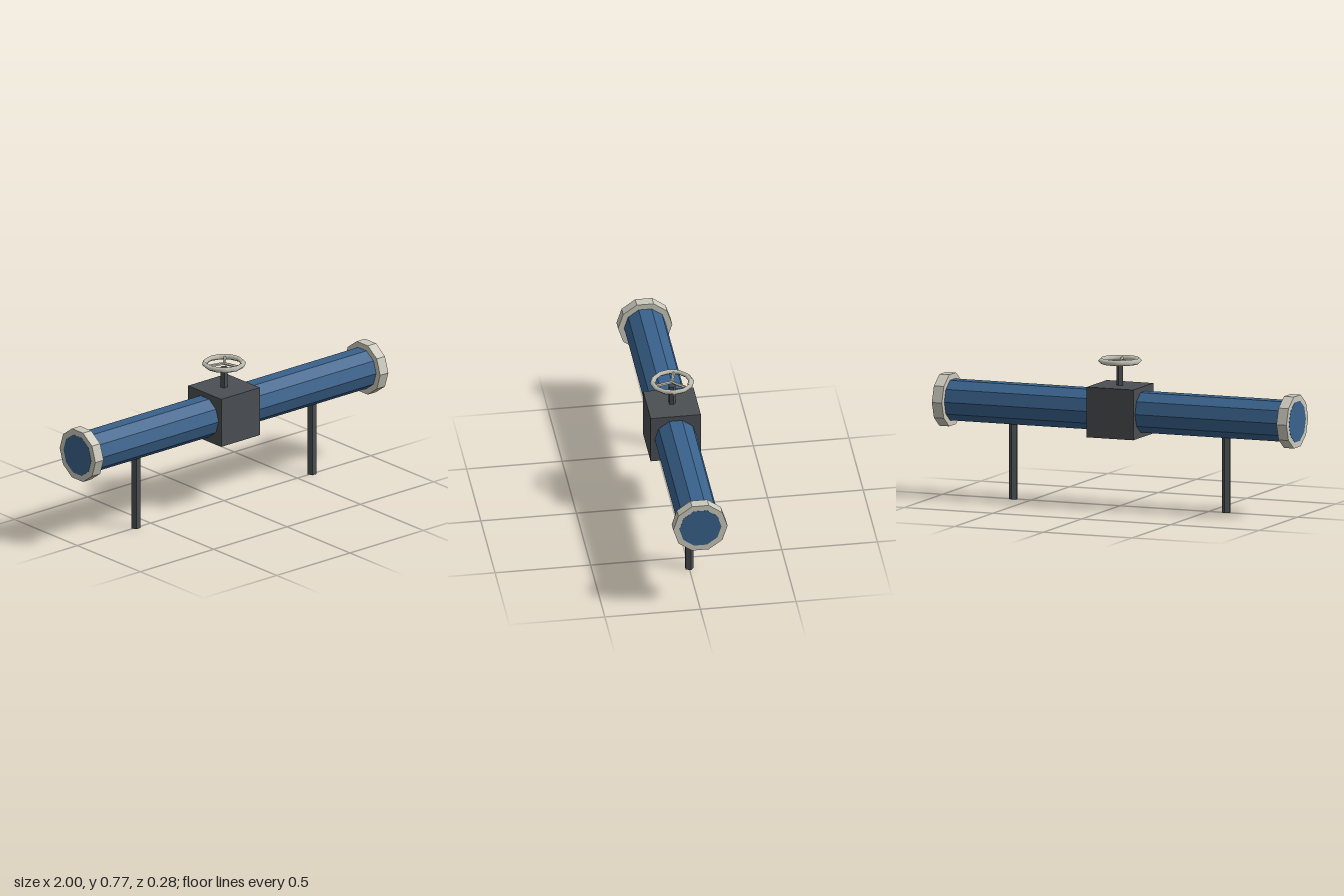
import * as THREE from 'three';

const blue = new THREE.MeshStandardMaterial({ color: 0x39628c });
blue.name = 'pipe blue';
const dark = new THREE.MeshStandardMaterial({ color: 0x4b4f53 });
dark.name = 'dark iron';
const cream = new THREE.MeshStandardMaterial({ color: 0xcbc9bc });
cream.name = 'pale metal';

// Faceted prism with hard edges, standing along y
function prism(radius, length, sides) {
  const geometry = new THREE.CylinderGeometry(radius, radius, length, sides).toNonIndexed();
  geometry.computeVertexNormals();
  return geometry;
}

export function createModel() {
  const model = new THREE.Group();
  model.name = 'pipeValve';

  const add = (name, geometry, material, x, y, z, parent = model) => {
    const mesh = new THREE.Mesh(geometry, material);
    mesh.name = name;
    mesh.position.set(x, y, z);
    parent.add(mesh);
    return mesh;
  };

  // Main pipe, its ends just proud of the flanges
  const axisY = 0.5;
  add('pipe', prism(0.11, 2, 10).rotateZ(Math.PI / 2), blue, 0, axisY, 0);

  // End flanges and support legs, mirrored
  for (const side of [1, -1]) {
    const label = side > 0 ? 'left' : 'right';
    add(label + 'Flange', prism(0.142, 0.056, 10).rotateZ(Math.PI / 2), cream, side * 0.971, axisY, 0);
    add(label + 'Leg', prism(0.0243, 0.42, 5).rotateY(Math.PI), dark, side * 0.6, 0.21, 0);
  }

  // Valve body and stem
  add('valveBody', new THREE.BoxGeometry(0.263, 0.263, 0.263), dark, 0, axisY, 0);
  add('valveStem', prism(0.0193, 0.14, 5).rotateY(Math.PI), dark, 0, 0.67, 0);

  // Handwheel: diamond-section rim with three spokes
  const wheel = new THREE.Group();
  wheel.name = 'handwheel';
  wheel.position.y = 0.76;
  model.add(wheel);
  add('rim', new THREE.TorusGeometry(0.1, 0.015, 4, 12).rotateX(Math.PI / 2), cream, 0, 0, 0, wheel);
  for (let i = 0; i < 3; i++) {
    const spoke = prism(0.008, 0.1, 5).rotateZ(Math.PI / 2).translate(0.05, 0, 0);
    add('spoke' + (i + 1), spoke, cream, 0, 0, 0, wheel).rotation.y =
      THREE.MathUtils.degToRad(46 + i * 120);
  }

  return model;
}
